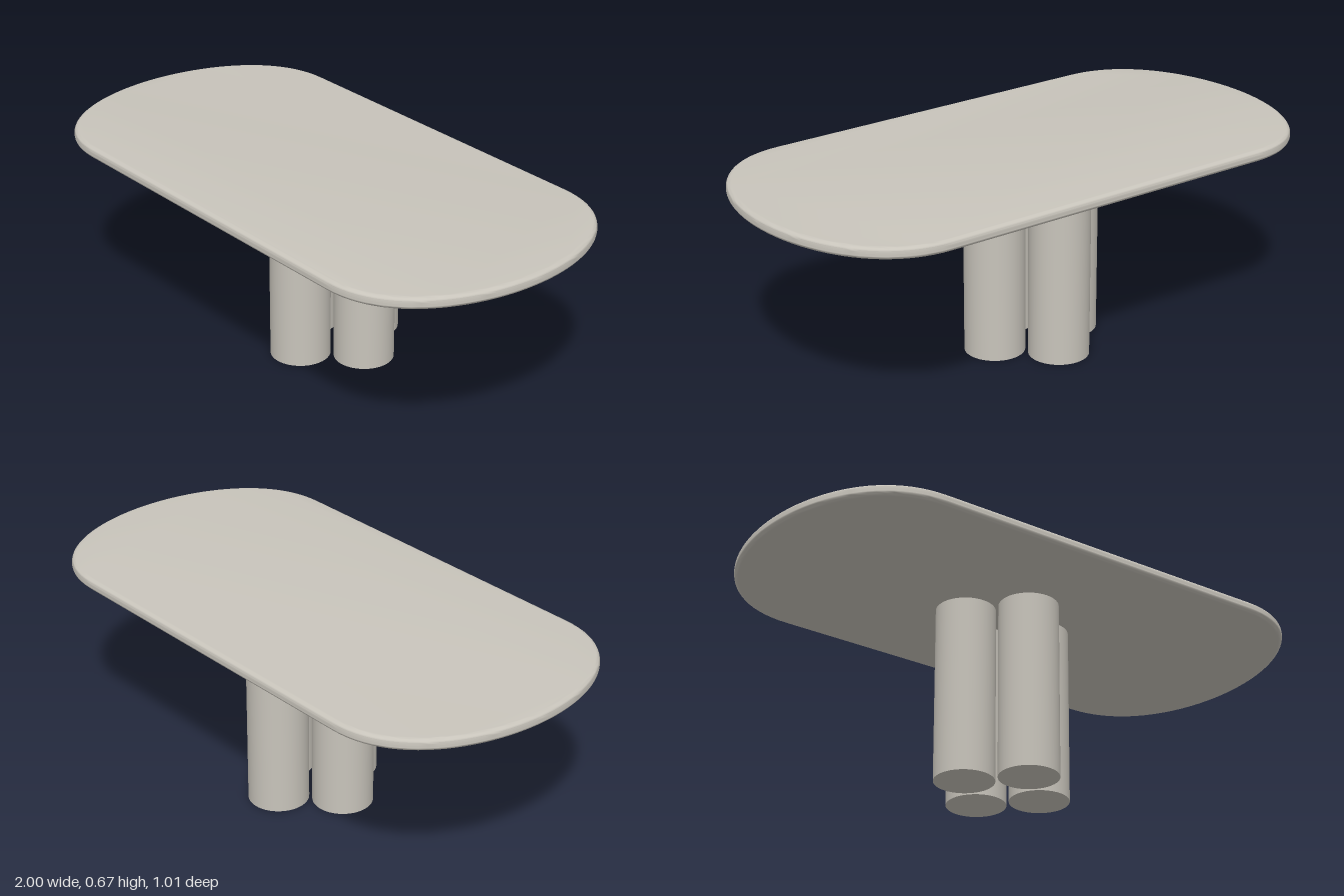
import * as THREE from 'three';
import { toCreasedNormals } from 'three/addons/utils/BufferGeometryUtils.js';

const TOP_Y = 0.668, THICKNESS = 0.04, EDGE = 0.018;

export function createModel() {
  const group = new THREE.Group();
  group.name = 'table';
  const stone = new THREE.MeshStandardMaterial({ color: 0xc8c4bb });
  stone.name = 'warm grey';

  // Table top: straight long sides, bulging ends, rounded edge
  const s = new THREE.Shape();
  s.moveTo(0.62, -0.505);
  s.bezierCurveTo(0.88, -0.505, 1, -0.24, 1, 0);
  s.bezierCurveTo(1, 0.24, 0.88, 0.505, 0.62, 0.505);
  s.lineTo(-0.62, 0.505);
  s.bezierCurveTo(-0.88, 0.505, -1, 0.24, -1, 0);
  s.bezierCurveTo(-1, -0.24, -0.88, -0.505, -0.62, -0.505);
  s.closePath();
  const slab = new THREE.ExtrudeGeometry(s, {
    depth: THICKNESS - 2 * EDGE, curveSegments: 24,
    bevelThickness: EDGE, bevelSize: EDGE, bevelOffset: -EDGE, bevelSegments: 6,
  });
  slab.rotateX(Math.PI / 2);
  const top = new THREE.Mesh(toCreasedNormals(slab, 0.6), stone);
  top.name = 'tableTop';
  top.position.y = TOP_Y - EDGE;
  group.add(top);

  // Base: four columns clustered in a diamond
  const base = new THREE.Group();
  base.name = 'base';
  base.position.set(-0.013, 0, -0.061);
  const height = TOP_Y - THICKNESS;
  const column = new THREE.CylinderGeometry(0.103, 0.103, height, 48);
  ['frontColumn', 'leftColumn', 'backColumn', 'rightColumn'].forEach((name, i) => {
    const a = i * Math.PI / 2;
    const leg = new THREE.Mesh(column, stone);
    leg.name = name;
    leg.position.set(Math.sin(a) * 0.153, height / 2, Math.cos(a) * 0.153);
    base.add(leg);
  });
  group.add(base);
  return group;
}
